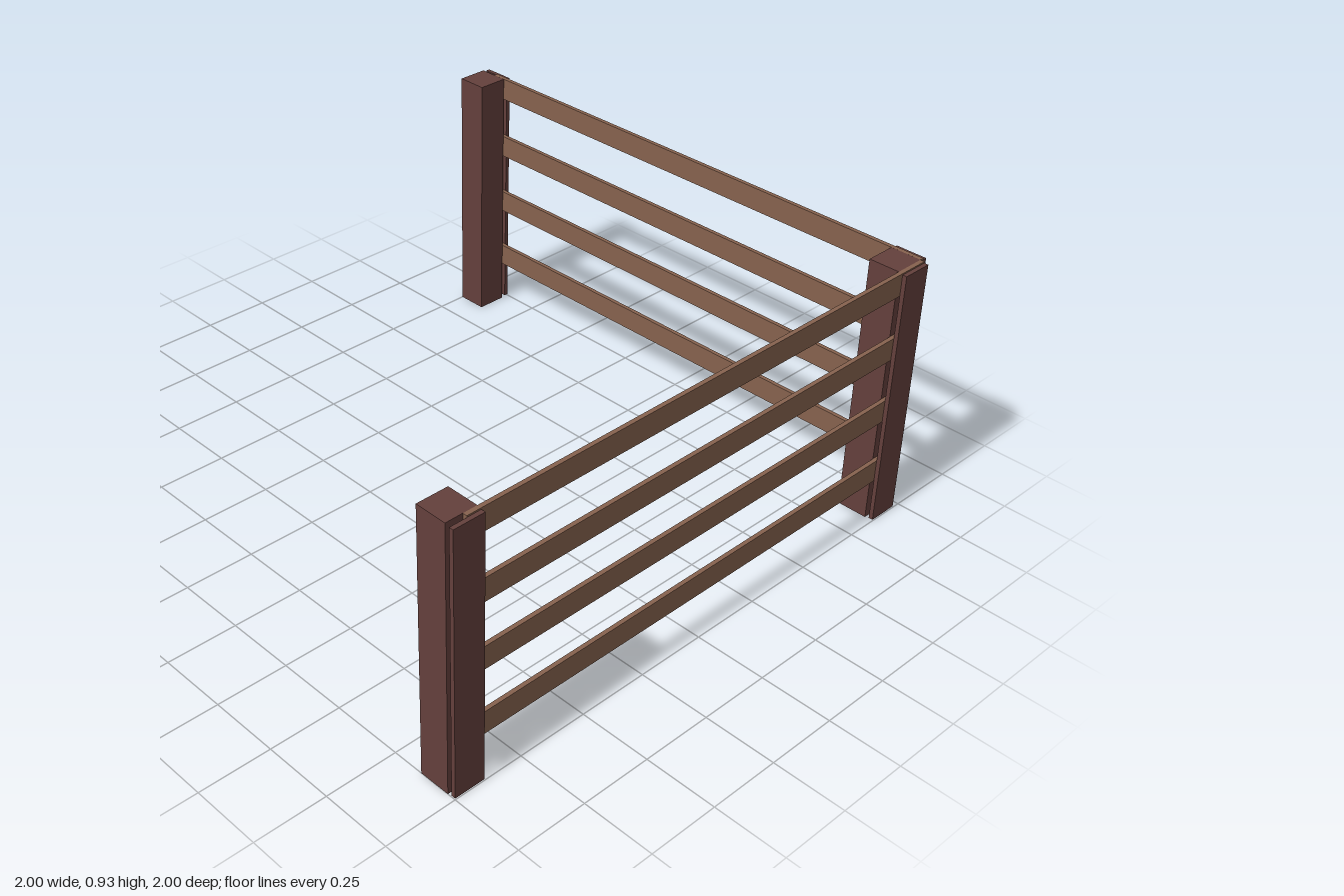
import * as THREE from 'three';

export function createModel() {
  const model = new THREE.Group();
  model.name = 'cornerFence';
  const postMat = new THREE.MeshStandardMaterial({ color: 0x64403c });
  const railMat = new THREE.MeshStandardMaterial({ color: 0x86624e });

  // Box given by its minimum and maximum corners
  function box(parent, name, mat, [x0, y0, z0], [x1, y1, z1]) {
    const mesh = new THREE.Mesh(new THREE.BoxGeometry(x1 - x0, y1 - y0, z1 - z0), mat);
    mesh.position.set((x0 + x1) / 2, (y0 + y1) / 2, (z0 + z1) / 2);
    mesh.name = name;
    parent.add(mesh);
  }

  const H = 0.93;      // fence height
  const inner = 0.86;  // inner face of the posts
  const outer = 0.97;  // outer face of the posts
  const clad = 0.985;  // inner face of the cover boards

  // Three square posts: back left end, corner, front end
  box(model, 'rightEndPost', postMat, [-1, 0, -outer], [-0.89, H, -inner]);
  box(model, 'cornerPost', postMat, [inner, 0, -outer], [outer, H, -inner]);
  box(model, 'frontEndPost', postMat, [inner, 0, 0.89], [outer, H, 1]);

  // Thin cover boards holding the rails against the posts
  const y0 = 0.005, y1 = H - 0.005;
  box(model, 'rightEndCover', postMat, [-1, y0, -1], [-0.89, y1, -clad]);
  box(model, 'cornerBackCover', postMat, [inner, y0, -1], [outer, y1, -clad]);
  box(model, 'cornerSideCover', postMat, [clad, y0, -outer], [1, y1, -inner]);
  box(model, 'frontEndCover', postMat, [clad, y0, 0.89], [1, y1, 1]);

  // Four rails along the back and four along the side
  for (let i = 0; i < 4; i++) {
    const y = 0.155 + i * 0.2317;
    box(model, 'backRail', railMat, [-0.94, y, -clad], [outer, y + 0.08, -outer]);
    box(model, 'sideRail', railMat, [outer, y, -outer], [clad, y + 0.08, 0.94]);
  }
  return model;
}
